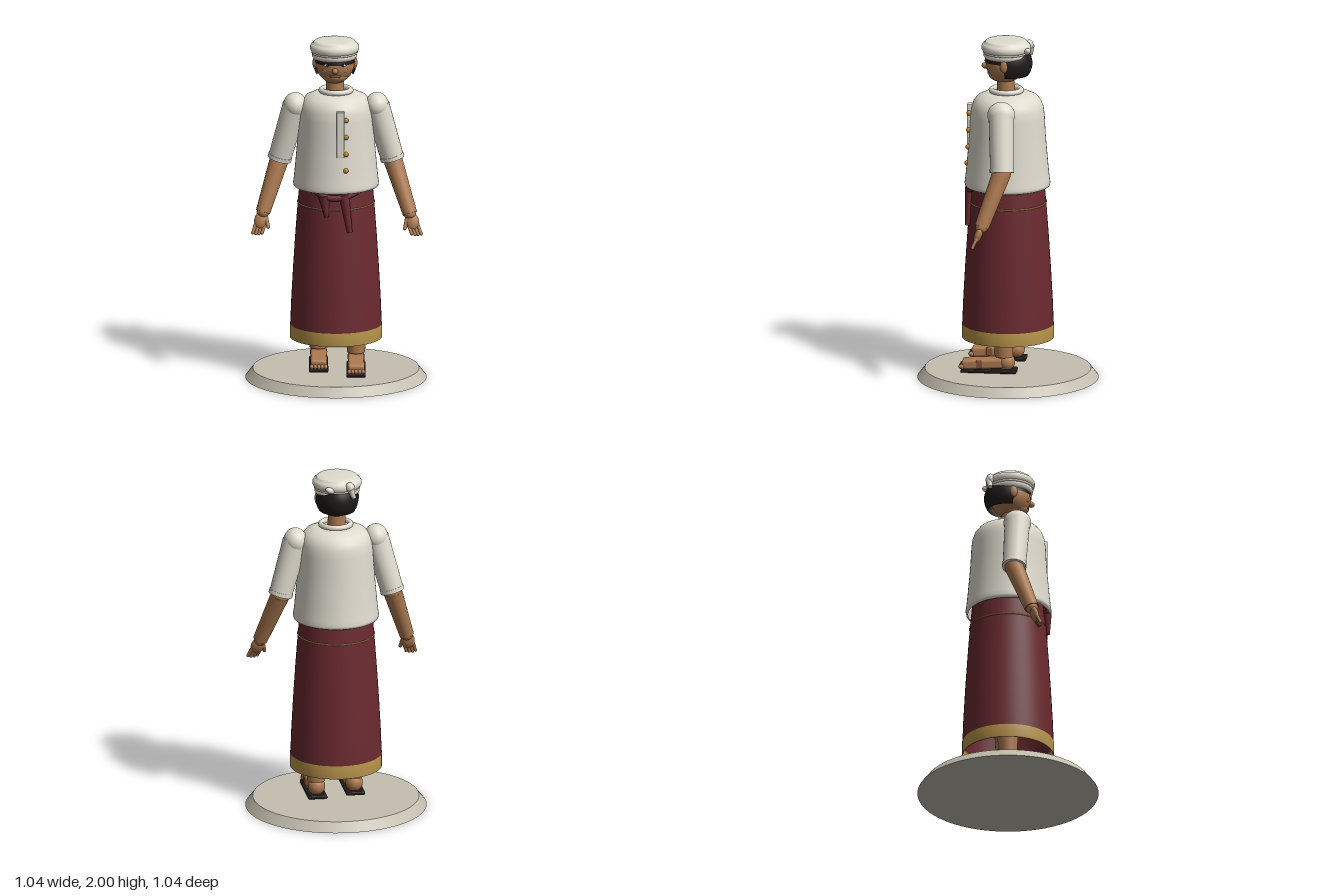
import * as THREE from 'three';
import { RoundedBoxGeometry } from 'three/addons/geometries/RoundedBoxGeometry.js';

const mat = (color) => new THREE.MeshStandardMaterial({ color, side: THREE.DoubleSide, roughness: 0.8 });
const V = (x, y, z) => new THREE.Vector3(x, y, z);

export function createModel() {
  const model = new THREE.Group();
  const cloth = mat(0xe0dccf), red = mat(0x6b2a30), gold = mat(0xb8954a), skin = mat(0xad7a50);
  const dark = mat(0x1f1a18), stone = mat(0xc4bfb0), lip = mat(0x8a5540), brass = mat(0xb8862b);

  const add = (name, geo, material, pos = [0, 0, 0], scale = [1, 1, 1], rot = [0, 0, 0]) => {
    const mesh = new THREE.Mesh(geo, material);
    mesh.name = name;
    mesh.position.set(...pos);
    mesh.scale.set(...scale);
    mesh.rotation.set(...rot);
    model.add(mesh);
    return mesh;
  };
  const ball = (name, material, pos, radii, rot) =>
    add(name, new THREE.SphereGeometry(1, 24, 16), material, pos, radii, rot);
  const lathe = (name, material, points, pos, scale) =>
    add(name, new THREE.LatheGeometry(points.map((p) => new THREE.Vector2(...p)), 56), material, pos, scale);
  const ring = (name, material, y, r, tube, z = 0, x = 0) =>
    add(name, new THREE.TorusGeometry(r, tube, 10, 56), material, [x, y, z], [1, 1, 1], [Math.PI / 2, 0, 0]);
  // tapered cylinder running from a to b
  const limb = (name, material, a, b, ra, rb) => {
    const mesh = add(name, new THREE.CylinderGeometry(rb, ra, a.distanceTo(b), 24), material);
    mesh.position.copy(a).lerp(b, 0.5);
    mesh.quaternion.setFromUnitVectors(V(0, 1, 0), b.clone().sub(a).normalize());
    return mesh;
  };

  // Base
  add('base', new THREE.CylinderGeometry(0.478, 0.521, 0.055, 72), stone, [0, 0.0275, 0]);

  // Wrapped skirt with gold trim
  lathe('skirt', red, [[0.263, 0.31], [0.258, 0.45], [0.247, 0.65], [0.234, 0.85], [0.22, 1.04], [0.208, 1.17]]);
  lathe('skirtHem', gold, [[0.258, 0.24], [0.265, 0.24], [0.265, 0.318], [0.258, 0.318]]);
  ring('skirtStripe', gold, 1.04, 0.22, 0.004);

  // Tied sash with two hanging tails
  const sash = new THREE.CatmullRomCurve3([V(-0.11, 1.14, 0.19), V(-0.06, 1.115, 0.217), V(0, 1.11, 0.224),
    V(0.06, 1.12, 0.217), V(0.12, 1.14, 0.185)]);
  add('sashFold', new THREE.TubeGeometry(sash, 20, 0.018, 10), red);
  limb('sashTailRight', red, V(-0.07, 1.12, 0.21), V(-0.055, 1.0, 0.222), 0.032, 0.012);
  limb('sashTailLeft', red, V(0.045, 1.13, 0.212), V(0.078, 0.91, 0.224), 0.03, 0.016);

  // Shirt
  lathe('shirt', cloth, [[0.232, 1.135], [0.244, 1.14], [0.247, 1.155], [0.243, 1.18], [0.236, 1.25], [0.227, 1.35],
    [0.219, 1.45], [0.214, 1.55], [0.208, 1.6], [0.196, 1.635], [0.172, 1.665], [0.13, 1.684], [0.085, 1.69], [0.05, 1.69]],
  [0, 0, 0.003]);
  ring('collar', cloth, 1.7, 0.085, 0.016, 0.01);
  add('placket', new RoundedBoxGeometry(0.046, 0.27, 0.03, 2, 0.004), cloth, [0.025, 1.485, 0.217], [1, 1, 1], [0.0, 0, 0]);
  for (const [y, z] of [[1.57, 0.22], [1.47, 0.222], [1.37, 0.226], [1.275, 0.232]]) {
    ball('button', brass, [0.056, y, z], [0.015, 0.015, 0.013]);
  }

  // Arms, each with its own pose
  const arms = [
    { s: -1, elbow: V(-0.325, 1.285, -0.025), wrist: V(-0.42, 0.99, 0.06), hand: V(-0.448, 0.87, 0.1) },
    { s: 1, elbow: V(0.325, 1.29, -0.005), wrist: V(0.425, 0.99, 0.1), hand: V(0.458, 0.875, 0.145) },
  ];
  for (const { s, elbow, wrist, hand } of arms) {
    const shoulder = V(s * 0.235, 1.61, 0.01);
    ball('shoulderPuff', cloth, shoulder.toArray(), [0.069, 0.075, 0.08]);
    limb('sleeve', cloth, shoulder, elbow, 0.073, 0.067);
    const cuff = limb('sleeveCuff', cloth, elbow.clone().lerp(shoulder, 0.07), elbow, 0.07, 0.07);
    ball('elbow', skin, elbow.toArray(), [0.054, 0.054, 0.054]);
    limb('forearm', skin, elbow, wrist, 0.055, 0.042);
    ball('wrist', skin, wrist.toArray(), [0.036, 0.036, 0.036]);
    const palm = ball('palm', skin, wrist.clone().lerp(hand, 0.36).toArray(), [0.04, 0.053, 0.022]);
    palm.quaternion.setFromUnitVectors(V(0, 1, 0), wrist.clone().sub(hand).normalize());
    for (let i = 0; i < 4; i++) {
      const off = (i - 1.5) * 0.018;
      const root = wrist.clone().lerp(hand, 0.5).add(V(off, 0, 0));
      const tip = hand.clone().add(V(off + s * 0.004, Math.abs(i - 1.5) * 0.004, 0));
      limb('finger', skin, root, tip, 0.01, 0.009);
      ball('fingertip', skin, tip.toArray(), [0.0095, 0.0095, 0.0095]);
    }
    const thumbTip = wrist.clone().add(V(-s * 0.03, -0.08, 0.035));
    limb('thumb', skin, wrist.clone().add(V(-s * 0.015, -0.025, 0.01)), thumbTip, 0.014, 0.01);
    ball('thumbTip', skin, thumbTip.toArray(), [0.0105, 0.0105, 0.0105]);
  }

  // Legs, feet and sandals
  for (const [x, y, z] of [[-0.1, 0.022, -0.02], [0.115, 0, 0.01]]) {
    limb('shin', skin, V(x, 0.15 + y, z), V(x, 0.5, z), 0.052, 0.07);
    ball('ankle', skin, [x, 0.118 + y, z - 0.015], [0.05, 0.052, 0.05]);
    add('foot', new RoundedBoxGeometry(0.095, 0.058, 0.24, 3, 0.016), skin, [x, 0.107 + y, z + 0.12], [1, 1, 1], [0.06, 0, 0]);
    add('sandalSole', new RoundedBoxGeometry(0.11, 0.02, 0.32, 2, 0.006), dark, [x, 0.067 + y, z + 0.085]);
    add('sandalStrap', new RoundedBoxGeometry(0.102, 0.05, 0.03, 2, 0.008), lip, [x, 0.108 + y, z + 0.14]);
    for (let i = 0; i < 5; i++) {
      ball('toe', skin, [x + (i - 2) * 0.02, 0.09 + y, z + 0.24], [0.012, 0.014, 0.018]);
    }
  }

  // Neck, head and face
  const hx = -0.006;
  limb('neck', skin, V(hx, 1.66, 0.012), V(hx, 1.8, 0.014), 0.053, 0.05);
  ball('head', skin, [hx, 1.86, 0.015], [0.112, 0.114, 0.115]);
  ball('jaw', skin, [hx, 1.8, 0.045], [0.075, 0.05, 0.07]);
  ball('nose', skin, [hx, 1.84, 0.132], [0.018, 0.018, 0.022]);
  ball('mouth', lip, [hx, 1.803, 0.108], [0.036, 0.009, 0.012]);
  for (const s of [-1, 1]) {
    ball('ear', skin, [hx + s * 0.114, 1.862, 0.01], [0.015, 0.036, 0.023]);
    ball('cheek', skin, [hx + s * 0.05, 1.838, 0.098], [0.022, 0.018, 0.016]);
    ball('eye', cloth, [hx + s * 0.045, 1.872, 0.118], [0.015, 0.009, 0.008]);
    ball('pupil', dark, [hx + s * 0.045, 1.872, 0.124], [0.007, 0.008, 0.005]);
  }
  add('fringe', new THREE.SphereGeometry(1, 40, 10, 0, Math.PI * 2, 0.9, 0.58), dark, [hx, 1.86, 0.015], [0.116, 0.124, 0.121]);
  add('hair', new THREE.SphereGeometry(1, 32, 20, Math.PI, Math.PI, 0.3, 1.85), dark, [hx, 1.86, 0.008], [0.124, 0.13, 0.148]);

  // Wrapped headcloth with a knot at the back
  lathe('headcloth', cloth, [[0.11, 1.89], [0.122, 1.892], [0.13, 1.905], [0.13, 1.917], [0.123, 1.926], [0.134, 1.932],
    [0.141, 1.945], [0.141, 1.962], [0.134, 1.974], [0.123, 1.978], [0.122, 1.986], [0.112, 1.994], [0.08, 1.998], [0, 2.0]],
  [-0.008, 0, 0.012]);
  ring('headclothSeam', cloth, 1.927, 0.126, 0.008, 0.012, -0.008);
  ball('headclothKnot', cloth, [-0.065, 1.955, -0.115], [0.026, 0.034, 0.024], [0, 0, -0.4]);
  limb('knotTail', cloth, V(-0.065, 1.95, -0.125), V(-0.085, 1.895, -0.12), 0.02, 0.013);
  ball('knotEnd', cloth, [0.055, 1.945, -0.118], [0.03, 0.018, 0.02], [0, 0.4, 0.5]);

  return model;
}
